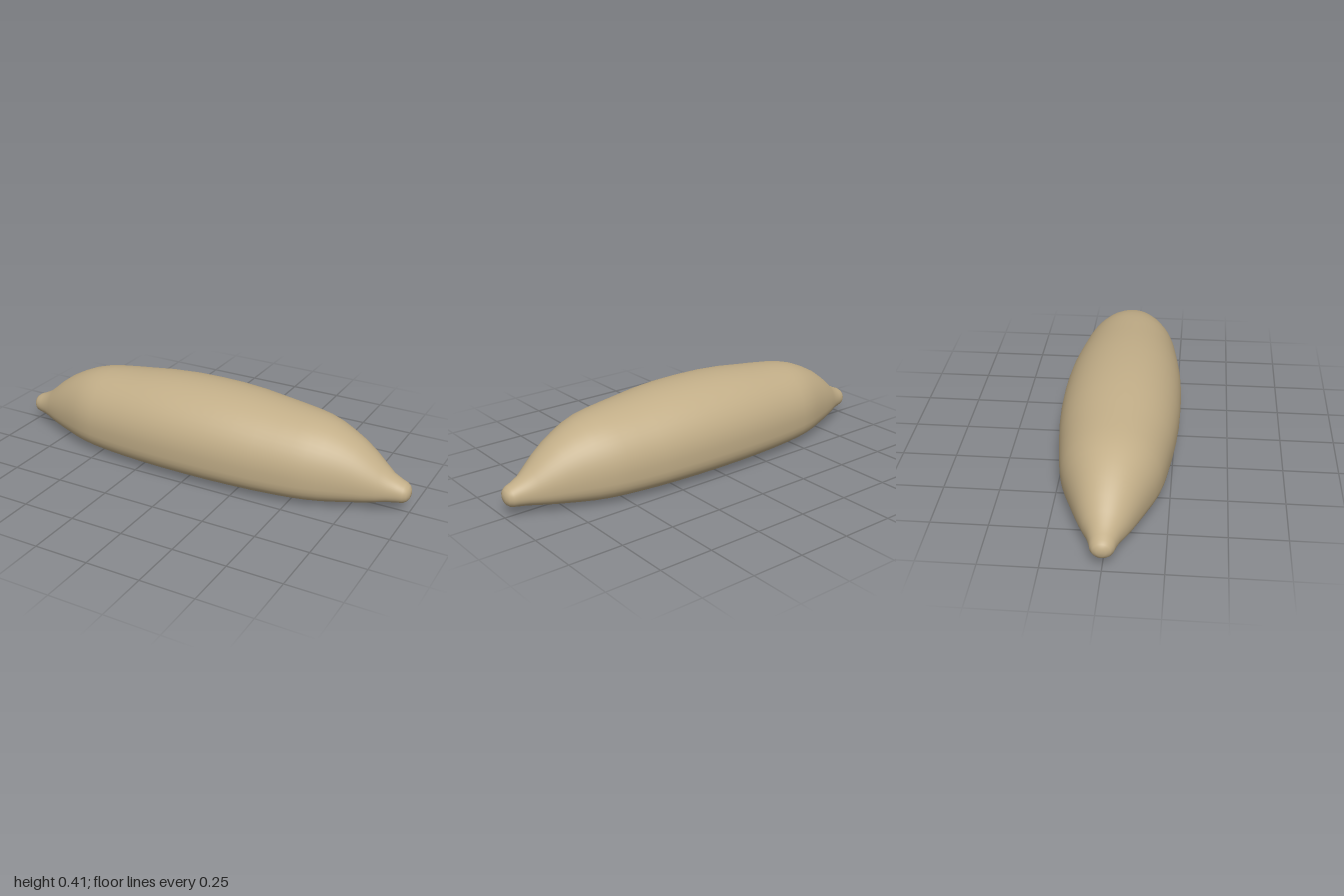
import * as THREE from 'three';

// Half-loaf stations: [x, half width, bottom, top, height of widest point as a fraction, lower roundness exponent]
const HALF = [
  [0.00, 0.275, 0.000, 0.413, 0.40, 3.2],
  [0.12, 0.273, 0.000, 0.411, 0.40, 3.2],
  [0.24, 0.265, 0.000, 0.403, 0.40, 3.2],
  [0.34, 0.254, 0.000, 0.391, 0.40, 3.2],
  [0.44, 0.240, 0.001, 0.380, 0.40, 3.2],
  [0.52, 0.228, 0.002, 0.370, 0.40, 3.1],
  [0.58, 0.214, 0.003, 0.360, 0.40, 3.0],
  [0.64, 0.193, 0.005, 0.343, 0.40, 2.9],
  [0.70, 0.168, 0.010, 0.317, 0.40, 2.8],
  [0.76, 0.143, 0.017, 0.285, 0.40, 2.7],
  [0.82, 0.116, 0.025, 0.242, 0.41, 2.6],
  [0.87, 0.090, 0.032, 0.199, 0.43, 2.4],
  [0.91, 0.068, 0.038, 0.167, 0.45, 2.2],
  [0.95, 0.055, 0.043, 0.147, 0.48, 2.1],
  [0.975, 0.049, 0.047, 0.137, 0.50, 2],
  [0.99, 0.037, 0.058, 0.126, 0.50, 2],
  [0.998, 0.020, 0.073, 0.111, 0.50, 2],
  [1.00, 0.000, 0.092, 0.092, 0.50, 2],
];
const SIDES = 48;

const power = (v, n) => Math.sign(v) * Math.abs(v) ** (2 / n);

// Joins flat-bottomed oval rings from tip to tip
function loafGeometry() {
  const mirrored = HALF.slice(1).reverse().map(([x, ...rest]) => [-x, ...rest]);
  const stations = [...mirrored, ...HALF];
  const positions = [];
  const indices = [];
  stations.forEach(([x, width, bottom, top, fraction, lower], i) => {
    const mid = bottom + (top - bottom) * fraction;
    for (let j = 0; j < SIDES; j++) {
      const a = (j / SIDES) * Math.PI * 2;
      const s = Math.sin(a);
      const n = s < 0 ? lower : 2.05;
      const y = mid + power(s, n) * (s < 0 ? mid - bottom : top - mid);
      positions.push(x, y, width * power(Math.cos(a), n));
      if (i === stations.length - 1) continue;
      const k = (j + 1) % SIDES;
      const p = i * SIDES, q = p + SIDES;
      if (i < stations.length - 2) indices.push(q + j, q + k, p + k);
      if (i > 0) indices.push(p + j, q + j, p + k);
      else continue;
    }
  });
  const geometry = new THREE.BufferGeometry();
  geometry.setAttribute('position', new THREE.Float32BufferAttribute(positions, 3));
  geometry.setIndex(indices);
  // The first and last rings are single points, so their fans need one triangle per side
  geometry.computeVertexNormals();
  const normal = geometry.attributes.normal;
  const last = (stations.length - 1) * SIDES;
  for (let j = 0; j < SIDES; j++) {
    normal.setXYZ(j, -1, 0, 0);
    normal.setXYZ(last + j, 1, 0, 0);
  }
  return geometry;
}

export function createModel() {
  const group = new THREE.Group();
  group.name = 'breadLoaf';
  const crust = new THREE.MeshStandardMaterial({ color: 0xc2ae88 });
  const loaf = new THREE.Mesh(loafGeometry(), crust);
  loaf.name = 'crust';
  group.add(loaf);
  return group;
}
